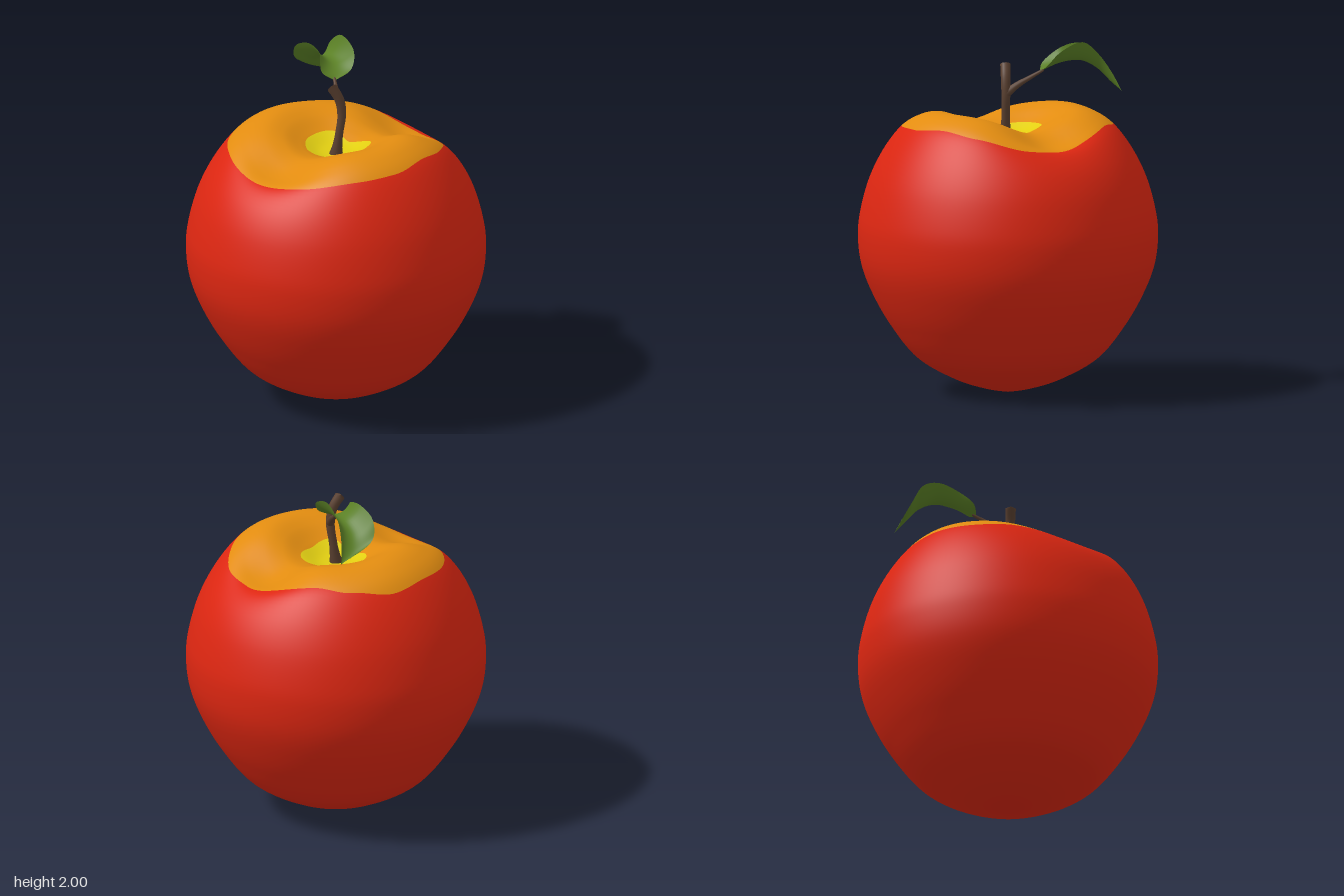
import * as THREE from 'three';
import { ParametricGeometry } from 'three/addons/geometries/ParametricGeometry.js';

const v3 = (p) => new THREE.Vector3(...p);
const mat = (name, color, side = THREE.FrontSide) => {
  const m = new THREE.MeshStandardMaterial({ color, side });
  m.name = name;
  return m;
};

// Fruit half-profile (radius, height), from the stem hollow over the rim to the base
const profile = new THREE.SplineCurve([
  [0, 1.46], [0.1, 1.475], [0.2, 1.525], [0.3, 1.58], [0.4, 1.605], [0.5, 1.585], [0.6, 1.52],
  [0.7, 1.385], [0.78, 1.22], [0.83, 1.04], [0.845, 0.9], [0.828, 0.74], [0.77, 0.58],
  [0.67, 0.4], [0.52, 0.21], [0.32, 0.09], [0.15, 0.03], [0, 0],
].map((p) => new THREE.Vector2(...p)));
const LAST = 17;

// Radii of the coloured zones at even angles, from +x towards +z
const yellowRadii = [0.2, 0.17, 0.2, 0.12, 0.17, 0.18, 0.19, 0.13];
const orangeRadii = [0.61, 0.595, 0.575, 0.595, 0.6, 0.605, 0.595, 0.6, 0.605, 0.615, 0.61, 0.625, 0.595, 0.56, 0.56, 0.58];

// Smooth periodic lookup of a radius by angle
function around(radii, angle) {
  const f = ((angle / (2 * Math.PI)) % 1) * radii.length;
  const i = Math.floor(f), k = f - i, n = radii.length;
  return THREE.MathUtils.lerp(radii[i % n], radii[(i + 1) % n], k * k * (3 - 2 * k));
}

// Gaussian bump around an angle in degrees
function lobe(angle, centre, width) {
  const d = Math.abs(THREE.MathUtils.euclideanModulo(angle * 180 / Math.PI - centre + 180, 360) - 180);
  return Math.exp(-((d / width) ** 2));
}

// Fruit surface: lathe profile with two valleys and a gentle wave in the rim
function fruitPoint(angle, s, target) {
  const p = profile.getPoint(THREE.MathUtils.clamp(s / LAST, 0, 1));
  const rim = Math.exp(-(((s - 4.6) / 2) ** 2));
  const lift = 0.018 * lobe(angle, 52, 25) + 0.006 * Math.sin(5 * angle)
    - 0.14 * (lobe(angle, 148, 34) + lobe(angle, 335, 34));
  target.set(p.x * Math.cos(angle), p.y + rim * lift, p.x * Math.sin(angle));
}

// One colour zone of the fruit skin, between two boundary functions of the angle
function skin(from, to, stacks) {
  return new ParametricGeometry((u, v, target) => {
    const a = u * 2 * Math.PI;
    fruitPoint(a, THREE.MathUtils.lerp(from(a), to(a), v), target);
  }, 128, stacks);
}

// Tapered round limb; radii are spread evenly along the path
function limb(points, radii) {
  const path = new THREE.CatmullRomCurve3(points.map(v3));
  const seg = 40, sides = 12;
  const geo = new THREE.TubeGeometry(path, seg, 1, sides);
  const pos = geo.attributes.position, p = new THREE.Vector3();
  for (let i = 0; i < pos.count; i++) {
    const t = Math.floor(i / (sides + 1)) / seg;
    const f = t * (radii.length - 1), k = Math.min(Math.floor(f), radii.length - 2);
    const r = t === 1 ? 0.001 : THREE.MathUtils.lerp(radii[k], radii[k + 1], f - k);
    const c = path.getPointAt(t);
    p.fromBufferAttribute(pos, i).sub(c).multiplyScalar(r).add(c);
    pos.setXYZ(i, p.x, p.y, p.z);
  }
  return geo;
}

// Curled leaf: lofted between a left edge, a midrib and a right edge
function leafGeometry() {
  const base = [0.03, 1.825, -0.175], tip = [0.07, 1.715, -0.635];
  const rail = (pts) => new THREE.CatmullRomCurve3([base, ...pts, tip].map(v3));
  const left = rail([[-0.04, 1.87, -0.2], [-0.035, 1.95, -0.3], [-0.075, 1.97, -0.4], [-0.13, 1.92, -0.5], [-0.12, 1.82, -0.56]]);
  const mid = rail([[0.04, 1.85, -0.22], [0.05, 1.88, -0.3], [0.03, 1.885, -0.41], [-0.01, 1.83, -0.51], [0.01, 1.76, -0.58]]);
  const right = rail([[0.13, 1.87, -0.21], [0.16, 1.95, -0.28], [0.115, 2.0, -0.41], [0.07, 1.93, -0.5], [0.06, 1.82, -0.58]]);
  return new ParametricGeometry((u, v, target) => {
    const w = 2 * u - 1;
    const t = THREE.MathUtils.clamp(v, 0, 1);
    target.copy(mid.getPoint(t)).multiplyScalar(1 - w * w)
      .addScaledVector(left.getPoint(t), w * (w - 1) / 2)
      .addScaledVector(right.getPoint(t), w * (w + 1) / 2);
  }, 16, 40);
}

export function createModel() {
  const group = new THREE.Group();
  const add = (name, geometry, material) => {
    const mesh = new THREE.Mesh(geometry, material);
    mesh.name = name;
    group.add(mesh);
  };

  // Fruit skin in three zones
  const yellowEdge = (a) => 10 * around(yellowRadii, a);
  const orangeEdge = (a) => 10 * around(orangeRadii, a);
  add('stemHollow', skin(() => 0.01, yellowEdge, 10), mat('yellow', 0xe2cf12));
  add('fruitTop', skin(yellowEdge, orangeEdge, 28), mat('orange', 0xe28c10));
  add('fruitBody', skin(orangeEdge, () => LAST - 0.005, 64), mat('red', 0xdc2611));

  // Stem with a flared foot, and the twig that carries the leaf
  const bark = mat('bark', 0x5a4030);
  add('stem', limb([[-0.005, 1.44, 0.015], [0.015, 1.58, 0.015], [0.03, 1.7, 0.015], [0.015, 1.79, 0.015], [-0.03, 1.87, 0.012]],
    [0.045, 0.03, 0.024, 0.023, 0.024, 0.026, 0.027, 0.028, 0.03]), bark);
  add('twig', limb([[0.03, 1.7, 0.015], [0.03, 1.75, -0.05], [0.028, 1.79, -0.12], [0.03, 1.835, -0.2]],
    [0.026, 0.02, 0.015, 0.011, 0.008]), bark);

  add('leaf', leafGeometry(), mat('leafGreen', 0x5a7f25, THREE.DoubleSide));
  return group;
}
